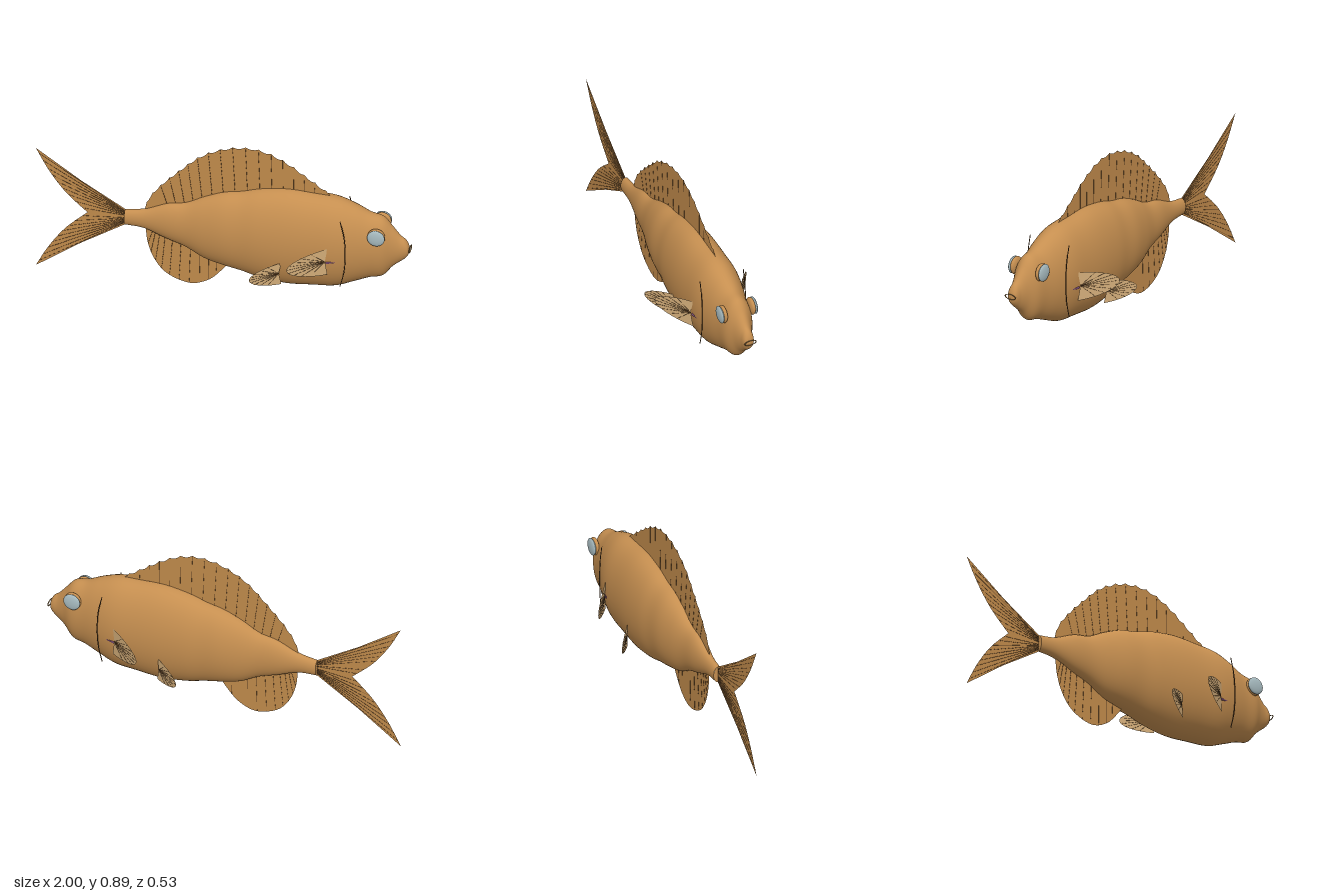
import * as THREE from 'three';

const mat = (name, color, side = THREE.FrontSide) => {
  const m = new THREE.MeshStandardMaterial({ color, side });
  m.name = name;
  return m;
};
const V2 = (p) => new THREE.Vector2(p[0], p[1]);

export function createModel() {
  const fish = new THREE.Group();
  fish.name = 'fish';
  const skin = mat('golden brown skin', 0xc68f50);
  const finSkin = mat('golden brown fin', 0xc08a4b, THREE.DoubleSide);
  const paleFin = mat('pale tan fin', 0xd4ae7a, THREE.DoubleSide);
  const dark = mat('dark brown ray', 0x5c3f22);
  const lens = mat('pale grey eye', 0xa9bdc2);
  const purple = mat('purple stripe', 0x74476f);
  const lip = mat('lip brown', 0x9a7848);

  const add = (parent, name, geo, material) => {
    const m = new THREE.Mesh(geo, material);
    m.name = name;
    parent.add(m);
    return m;
  };

  // Body: elliptical sections [x, top, bottom, half width] joined by a smooth curve
  const sections = [
    [-0.525, 0.415, 0.325, 0.026], [-0.42, 0.432, 0.315, 0.031], [-0.3, 0.482, 0.268, 0.05],
    [-0.2, 0.502, 0.232, 0.062], [-0.1, 0.552, 0.178, 0.087], [0, 0.592, 0.15, 0.108],
    [0.1, 0.612, 0.128, 0.116], [0.2, 0.64, 0.102, 0.13], [0.34, 0.658, 0.084, 0.138],
    [0.48, 0.651, 0.093, 0.138], [0.6, 0.641, 0.104, 0.135], [0.7, 0.607, 0.142, 0.115],
    [0.78, 0.569, 0.175, 0.094], [0.85, 0.55, 0.194, 0.08], [0.9, 0.495, 0.253, 0.053],
    [0.94, 0.447, 0.288, 0.037], [0.968, 0.424, 0.312, 0.031], [0.984, 0.397, 0.335, 0.022],
    [0.99, 0.366, 0.366, 0.0],
  ];
  const curve = (f) => new THREE.CatmullRomCurve3(sections.map(f), false, 'catmullrom');
  const heights = curve((s) => new THREE.Vector3(s[0], s[1], s[2]));
  const widths = curve((s) => new THREE.Vector3(s[0], s[3], 0));
  const rows = 108, cols = 48, pos = [], idx = [];
  for (let i = 0; i <= rows; i++) {
    const h = heights.getPoint(i / rows), w = Math.max(widths.getPoint(i / rows).y, 0);
    for (let j = 0; j < cols; j++) {
      const a = (j / cols) * Math.PI * 2;
      pos.push(h.x, (h.y + h.z) / 2 + (Math.cos(a) * (h.y - h.z)) / 2, Math.sin(a) * w);
      if (i < rows) {
        const p = i * cols + j, q = i * cols + ((j + 1) % cols);
        idx.push(p, q, p + cols, q, q + cols, p + cols);
      }
    }
  }
  const bodyGeo = new THREE.BufferGeometry();
  bodyGeo.setAttribute('position', new THREE.Float32BufferAttribute(pos, 3));
  bodyGeo.setIndex(idx);
  bodyGeo.computeVertexNormals();
  add(fish, 'body', bodyGeo, skin);
  const cap = add(fish, 'tailRootCap', new THREE.CircleGeometry(1, 32), skin);
  cap.rotation.y = -Math.PI / 2;
  cap.scale.set(0.026, 0.045, 1);
  cap.position.set(-0.525, 0.37, 0);

  // Fin: flat membrane from an outline, with thin rays from pairs of points
  const fin = (name, outline, rays, material, r = 0.0014) => {
    const g = new THREE.Group();
    g.name = name;
    add(g, name + 'Membrane', new THREE.ShapeGeometry(new THREE.Shape(outline)), material);
    for (const [a, b] of rays) {
      const d = b.clone().sub(a);
      const ray = add(g, name + 'Ray', new THREE.CylinderGeometry(r * 0.6, r, d.length(), 5), dark);
      ray.position.set((a.x + b.x) / 2, (a.y + b.y) / 2, 0);
      ray.rotation.z = Math.atan2(d.y, d.x) - Math.PI / 2;
    }
    fish.add(g);
    return g;
  };

  // Dorsal fin with a scalloped edge
  const crest = new THREE.SplineCurve([[-0.43, 0.41], [-0.395, 0.51], [-0.33, 0.6], [-0.22, 0.715],
    [-0.12, 0.805], [0, 0.865], [0.12, 0.887], [0.23, 0.872], [0.34, 0.82], [0.44, 0.75],
    [0.53, 0.685], [0.6, 0.635]].map(V2));
  const spines = 19, edge = [], dorsalRays = [];
  for (let i = 0; i <= spines * 4; i++) {
    const p = crest.getPointAt(i / (spines * 4));
    const dip = 0.012 * Math.sin(((i % 4) / 4) * Math.PI);
    edge.push(new THREE.Vector2(p.x, p.y - dip));
    if (i % 4 === 0 && i > 8 && i < spines * 4 - 4) {
      dorsalRays.push([new THREE.Vector2(p.x * 0.93 + 0.025, 0.43), p]);
    }
  }
  fin('dorsalFin', [...edge, V2([0.5, 0.5]), V2([0, 0.4]), V2([-0.42, 0.36])], dorsalRays, finSkin);

  // Anal fin
  const keel = new THREE.SplineCurve([[-0.415, 0.33], [-0.405, 0.23], [-0.37, 0.13], [-0.3, 0.045],
    [-0.18, 0.002], [-0.08, 0.035], [-0.01, 0.105], [0.03, 0.16]].map(V2));
  const analRays = [];
  for (let i = 2; i < 12; i++) {
    const p = keel.getPointAt(i / 13);
    analRays.push([new THREE.Vector2(p.x * 0.9 - 0.01, 0.32), p]);
  }
  fin('analFin', [...keel.getSpacedPoints(40), V2([0, 0.3]), V2([-0.41, 0.36])], analRays, finSkin);

  // Forked tail fin
  const fork = (s) => new THREE.SplineCurve([[-1, 0.37 + s * 0.366], [-0.93, 0.37 + s * 0.235],
    [-0.84, 0.37 + s * 0.11], [-0.725, 0.37]].map(V2));
  const tailRays = [];
  for (const s of [1, -1]) {
    for (let i = 1; i < 10; i++) {
      tailRays.push([new THREE.Vector2(-0.52, 0.37 + s * 0.036 * (1 - i / 11)), fork(s).getPoint(i / 10)]);
    }
  }
  fin('tailFin', [V2([-0.515, 0.412]), V2([-0.76, 0.565]), ...fork(1).getPoints(16),
    ...fork(-1).getPoints(16).reverse().slice(1), V2([-0.76, 0.175]), V2([-0.515, 0.328])],
  tailRays, finSkin);

  // Paired fans swept back and outward
  const fan = (name, x, y, z, length, up, down, side) => {
    const rim = [], rays = [];
    for (let i = 0; i <= 24; i++) {
      const a = Math.PI * (i / 24 - 0.5), v = Math.sin(a);
      const p = new THREE.Vector2(-length * Math.pow(Math.cos(a) + 1e-9, 1.25), v * (v > 0 ? up : down));
      rim.push(p);
      if (i % 2 === 0 && i > 2 && i < 22) rays.push([new THREE.Vector2(-0.015, 0), p]);
    }
    const g = fin(name, [new THREE.Vector2(-0.015, 0), ...rim], rays, paleFin);
    g.position.set(x, y, side * z);
    g.rotation.y = side * 0.6;
  };

  for (const side of [1, -1]) {
    const label = side > 0 ? 'left' : 'right';
    fan(label + 'PectoralFin', 0.58, 0.325, 0.134, 0.232, 0.075, 0.083, side);
    fan(label + 'PelvicFin', 0.332, 0.21, 0.122, 0.183, 0.062, 0.068, side);

    // Eye socket and lens
    const socket = add(fish, label + 'EyeSocket', new THREE.SphereGeometry(1, 32, 20), skin);
    socket.scale.set(0.047, 0.049, 0.018);
    socket.position.set(0.83, 0.475, side * 0.081);
    const eye = add(fish, label + 'Eye', new THREE.SphereGeometry(1, 32, 20), lens);
    eye.scale.set(0.047, 0.047, 0.012);
    eye.position.set(0.83, 0.475, side * 0.097);

    // Gill slit
    const slit = new THREE.CatmullRomCurve3([[0.645, 0.575], [0.666, 0.48], [0.673, 0.37],
      [0.666, 0.26], [0.645, 0.17]].map(([x, y]) => new THREE.Vector3(x, y, side * 0.125)));
    add(fish, label + 'GillSlit', new THREE.TubeGeometry(slit, 32, 0.0025, 6), dark);

    // Cheek stripe, tapering toward the snout
    const from = new THREE.Vector3(0.57, 0.313, side * 0.134), to = new THREE.Vector3(0.79, 0.332, side * 0.089);
    const dir = to.clone().sub(from);
    const stripe = add(fish, label + 'CheekStripe', new THREE.ConeGeometry(0.007, dir.length(), 8), purple);
    stripe.position.copy(from).addScaledVector(dir, 0.5);
    stripe.quaternion.setFromUnitVectors(new THREE.Vector3(0, 1, 0), dir.normalize());
  }

  // Mouth ring
  const mouth = add(fish, 'mouth', new THREE.TorusGeometry(0.033, 0.003, 8, 40), lip);
  mouth.rotation.y = Math.PI / 2;
  mouth.scale.y = 0.42;
  mouth.position.set(0.994, 0.37, 0);

  return fish;
}
